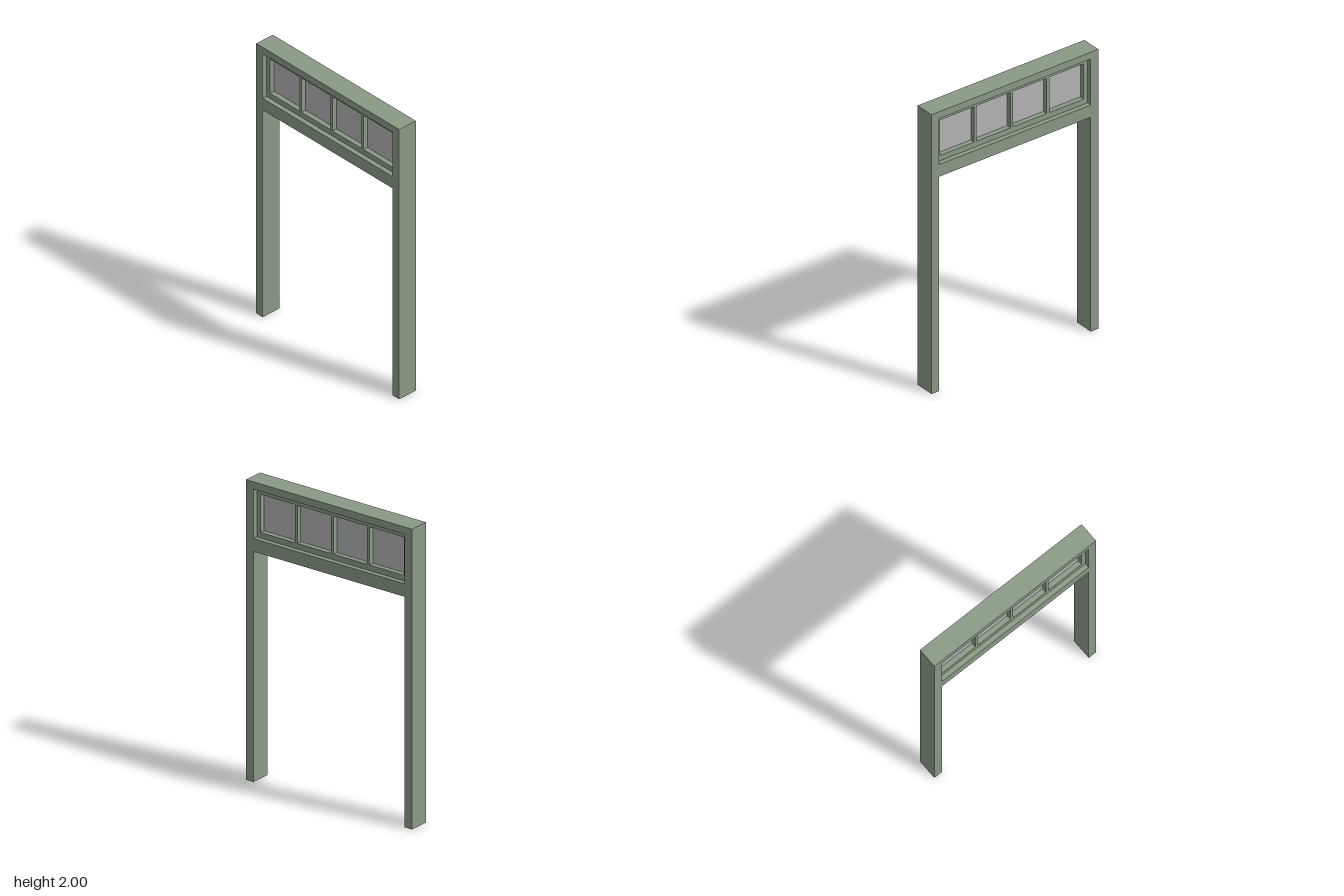
import * as THREE from 'three';

const HALF_W = 0.644;      // outer half width along z
const JAMB_IN = 0.585;     // inner face of the jambs
const PANE_IN = 0.555;     // inner edge of the sash stiles

// Rectangle as a closed loop in the (z, y) plane
const rect = (Type, z0, y0, z1, y1) => {
  const p = new Type();
  p.moveTo(z0, y0);
  p.lineTo(z1, y0);
  p.lineTo(z1, y1);
  p.lineTo(z0, y1);
  p.closePath();
  return p;
};

// Extrude a (z, y) outline to a thickness centred on x = 0
const slab = (shape, depth) =>
  new THREE.ExtrudeGeometry(shape, { depth, bevelEnabled: false })
    .translate(0, 0, -depth / 2)
    .rotateY(-Math.PI / 2);

export function createModel() {
  const group = new THREE.Group();
  const paint = new THREE.MeshStandardMaterial({ color: 0x8a9a86 });
  paint.name = 'sage green paint';
  const glass = new THREE.MeshStandardMaterial({ color: 0xb4b4b4 });
  glass.name = 'grey glass';

  const add = (name, geometry, material) => {
    const mesh = new THREE.Mesh(geometry, material);
    mesh.name = name;
    group.add(mesh);
  };

  // Door frame: two jambs, head and transom rail in one outline
  const outline = new THREE.Shape([
    [-HALF_W, 0], [-JAMB_IN, 0], [-JAMB_IN, 1.535], [JAMB_IN, 1.535],
    [JAMB_IN, 0], [HALF_W, 0], [HALF_W, 2], [-HALF_W, 2],
  ].map(([z, y]) => new THREE.Vector2(z, y)));
  outline.holes.push(rect(THREE.Path, -JAMB_IN, 1.622, JAMB_IN, 1.951));
  add('doorFrame', slab(outline, 0.14), paint);

  // Recessed transom sash with four lights divided by three glazing bars
  const sash = rect(THREE.Shape, -JAMB_IN, 1.622, JAMB_IN, 1.951);
  const bar = 0.01;
  const pitch = 0.28;
  for (let i = 0; i < 4; i++) {
    const z0 = i === 0 ? -PANE_IN : (i - 2) * pitch + bar;
    const z1 = i === 3 ? PANE_IN : (i - 1) * pitch - bar;
    sash.holes.push(rect(THREE.Path, z0, 1.66, z1, 1.913));

    // Glass pane in each light
    const pane = new THREE.BoxGeometry(0.008, 0.253, z1 - z0);
    pane.translate(0, (1.66 + 1.913) / 2, (z0 + z1) / 2);
    add('glassPane' + (i + 1), pane, glass);
  }
  add('transomSash', slab(sash, 0.075), paint);

  return group;
}
